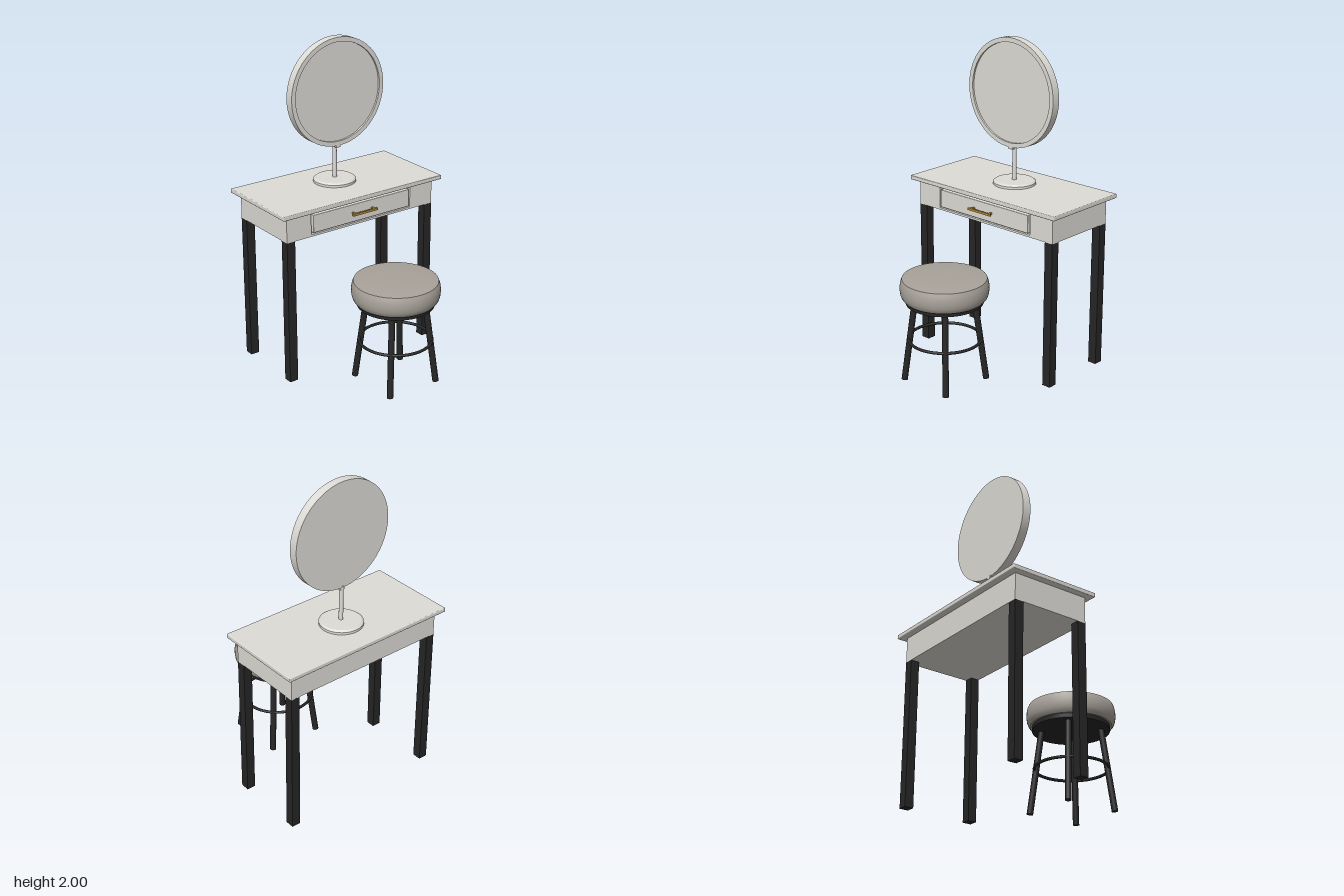
import * as THREE from 'three';
import { toCreasedNormals } from 'three/addons/utils/BufferGeometryUtils.js';
import { RoundedBoxGeometry } from 'three/addons/geometries/RoundedBoxGeometry.js';

function flat(name, color) {
  const m = new THREE.MeshStandardMaterial({ color });
  m.name = name;
  return m;
}

export function createModel() {
  const white = flat('warm white paint', 0xdedcd6);
  const black = flat('black metal', 0x262626);
  const fabric = flat('taupe fabric', 0xa8a29a);
  const gold = flat('brass', 0xb08a35);

  const model = new THREE.Group();
  model.name = 'vanityTableWithStool';
  const group = (name) => {
    const g = new THREE.Group();
    g.name = name;
    model.add(g);
    return g;
  };
  const add = (parent, name, geometry, material, x = 0, y = 0, z = 0) => {
    const mesh = new THREE.Mesh(geometry, material);
    mesh.name = name;
    mesh.position.set(x, y, z);
    parent.add(mesh);
    return mesh;
  };
  const box = (w, h, d) => new THREE.BoxGeometry(w, h, d);
  const lathe = (points, crease = 0.5) => toCreasedNormals(
    new THREE.LatheGeometry(points.map(([r, y]) => new THREE.Vector2(r, y)), 64), crease);

  // Table: top, apron and square legs
  const table = group('table');
  add(table, 'tableTop', new RoundedBoxGeometry(1.164, 0.027, 0.58, 2, 0.005), white, 0, 1.0835, -0.281);
  add(table, 'apronBox', box(1.076, 0.16, 0.475), white, 0, 0.99, -0.2905);
  for (const x of [-0.51, 0.51]) {
    for (const z of [-0.0605, -0.5005]) {
      add(table, 'tableLeg', box(0.056, 0.91, 0.056), black, x, 0.455, z);
    }
  }

  // Apron front with an opening for the drawer
  const front = new THREE.Shape();
  front.moveTo(-0.538, 0.91).lineTo(0.538, 0.91).lineTo(0.538, 1.07).lineTo(-0.538, 1.07).closePath();
  const opening = new THREE.Path();
  opening.moveTo(-0.367, 0.923).lineTo(-0.367, 1.054).lineTo(0.367, 1.054).lineTo(0.367, 0.923).closePath();
  front.holes.push(opening);
  add(table, 'apronFront', new THREE.ExtrudeGeometry(front, { depth: 0.02, bevelEnabled: false }),
    white, 0, 0, -0.053);

  // Drawer and bar handle
  const drawer = group('drawer');
  add(drawer, 'drawerFront', new RoundedBoxGeometry(0.71, 0.112, 0.028, 2, 0.004), white, 0, 0.988, -0.041);
  add(drawer, 'handleBar', box(0.18, 0.014, 0.012), gold, 0, 0.99, 0.003);
  for (const x of [-0.07, 0.07]) {
    add(drawer, 'handlePost', box(0.012, 0.012, 0.028), gold, x, 0.99, -0.014);
  }

  // Round mirror on a stand; the glass is recessed behind its rim
  const mirror = group('mirror');
  add(mirror, 'standBase', lathe([[0, 0], [0.131, 0], [0.131, 0.015], [0.118, 0.024], [0, 0.026]]),
    white, 0, 1.097, -0.311);
  add(mirror, 'standPole', new THREE.CylinderGeometry(0.013, 0.013, 0.23, 24), white, 0, 1.225, -0.308);
  add(mirror, 'poleBracket', box(0.032, 0.022, 0.05), white, 0, 1.332, -0.293);
  const disc = add(mirror, 'mirrorDisc',
    lathe([[0, -0.027], [0.333, -0.027], [0.333, 0.027], [0.305, 0.027], [0.305, 0.015], [0, 0.015]]),
    white, 0, 1.667, -0.29);
  disc.rotation.x = Math.PI / 2;

  // Stool: padded seat, seat plate, splayed legs and foot ring
  const stool = group('stool');
  stool.position.z = 0.303;
  add(stool, 'cushion', lathe([
    [0, 0.53], [0.243, 0.53], [0.255, 0.545], [0.262, 0.565], [0.265, 0.59],
    [0.264, 0.615], [0.26, 0.637], [0.252, 0.657], [0.2, 0.664], [0.1, 0.667], [0, 0.667],
  ]), fabric);
  add(stool, 'seatPlate', new THREE.CylinderGeometry(0.232, 0.232, 0.03, 48), black, 0, 0.52, 0);
  const up = new THREE.Vector3(0, 1, 0);
  for (const sx of [-1, 1]) {
    for (const sz of [-1, 1]) {
      const foot = new THREE.Vector3(0.174 * sx, 0.002, 0.174 * sz);
      const head = new THREE.Vector3(0.125 * sx, 0.51, 0.125 * sz);
      const span = head.clone().sub(foot);
      const mid = foot.clone().add(head).multiplyScalar(0.5);
      const leg = add(stool, 'stoolLeg', new THREE.CylinderGeometry(0.019, 0.019, span.length(), 20),
        black, mid.x, mid.y, mid.z);
      leg.quaternion.setFromUnitVectors(up, span.normalize());
    }
  }
  const ring = add(stool, 'footRing', new THREE.TorusGeometry(0.219, 0.009, 10, 64), black, 0, 0.27, 0);
  ring.rotation.x = Math.PI / 2;

  return model;
}
